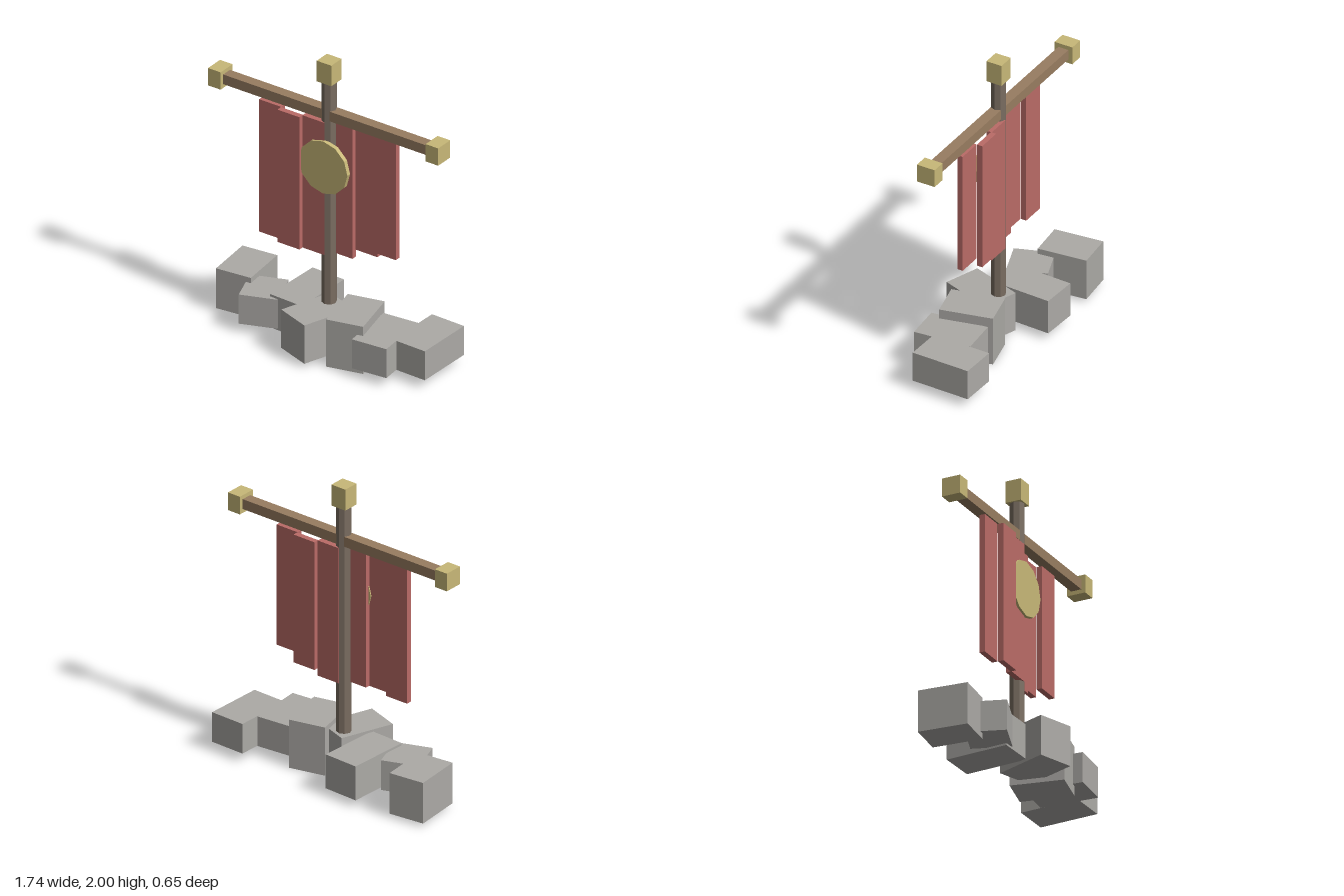
import * as THREE from 'three';

const flat = (name, color) => {
  const m = new THREE.MeshStandardMaterial({ color, flatShading: true });
  m.name = name;
  return m;
};

export function createModel() {
  const model = new THREE.Group();
  model.name = 'bannerStand';

  const stone = flat('grey stone', 0xacaaa6);
  const darkWood = flat('dark wood', 0x7a6d61);
  const wood = flat('light wood', 0x987d61);
  const cloth = flat('red cloth', 0xba6b67);
  const gold = flat('pale gold', 0xc8b878);

  const add = (name, geometry, material, x, y, z) => {
    const mesh = new THREE.Mesh(geometry, material);
    mesh.name = name;
    mesh.position.set(x, y, z);
    model.add(mesh);
    return mesh;
  };
  const box = (name, material, w, h, d, x, y, z) =>
    add(name, new THREE.BoxGeometry(w, h, d), material, x, y, z);

  const axisZ = -0.021;

  // Rubble base: x, z, depth, bottom, top, turn about y
  const stones = [
    [-0.694, -0.12, 0.33, 0.025, 0.305, 0.105],
    [-0.462, 0.025, 0.262, 0.063, 0.268, 0.35],
    [-0.231, -0.111, 0.425, 0.05, 0.284, -0.045],
    [0, 0.104, 0.369, 0.03, 0.3, -0.336],
    [0.234, 0.028, 0.348, 0, 0.332, 0.23],
    [0.466, 0.041, 0.385, 0.064, 0.268, 0.09],
    [0.696, -0.097, 0.4, 0.064, 0.268, -0.025],
  ];
  stones.forEach(([x, z, depth, bottom, top, turn], i) => {
    box(`baseStone${i + 1}`, stone, 0.246, top - bottom, depth, x, (top + bottom) / 2, z)
      .rotation.y = turn;
  });

  // Eight-sided pole with its cap
  add('pole', new THREE.CylinderGeometry(0.048, 0.048, 1.8, 8), darkWood, 0, 1.0, axisZ);
  box('poleCap', gold, 0.11, 0.145, 0.108, 0, 1.9275, axisZ);

  // Crossbar with a cap on each end
  box('crossbar', wood, 1.64, 0.068, 0.072, 0, 1.626, axisZ);
  for (const side of [-1, 1]) {
    box(side > 0 ? 'leftBarCap' : 'rightBarCap', gold, 0.095, 0.122, 0.127, side * 0.822, 1.626, axisZ);
  }

  // Cloth strips in a gentle wave, with a ragged lower edge
  const clothTop = 1.577;
  const strips = [
    [0.645, 0.0], [0.645, 0.041], [0.645, 0.009],
    [0.645, -0.053], [0.696, -0.085], [0.748, -0.045],
  ];
  strips.forEach(([bottom, z], i) => {
    box(`clothStrip${i + 1}`, cloth, 1 / 6, clothTop - bottom, 0.038,
      (i - 2.5) / 6, (clothTop + bottom) / 2, z);
  });

  // Round emblem plate
  add('emblemDisc', new THREE.CylinderGeometry(0.184, 0.184, 0.029, 12), gold, 0, 1.27, 0.029)
    .rotation.x = Math.PI / 2;

  return model;
}
